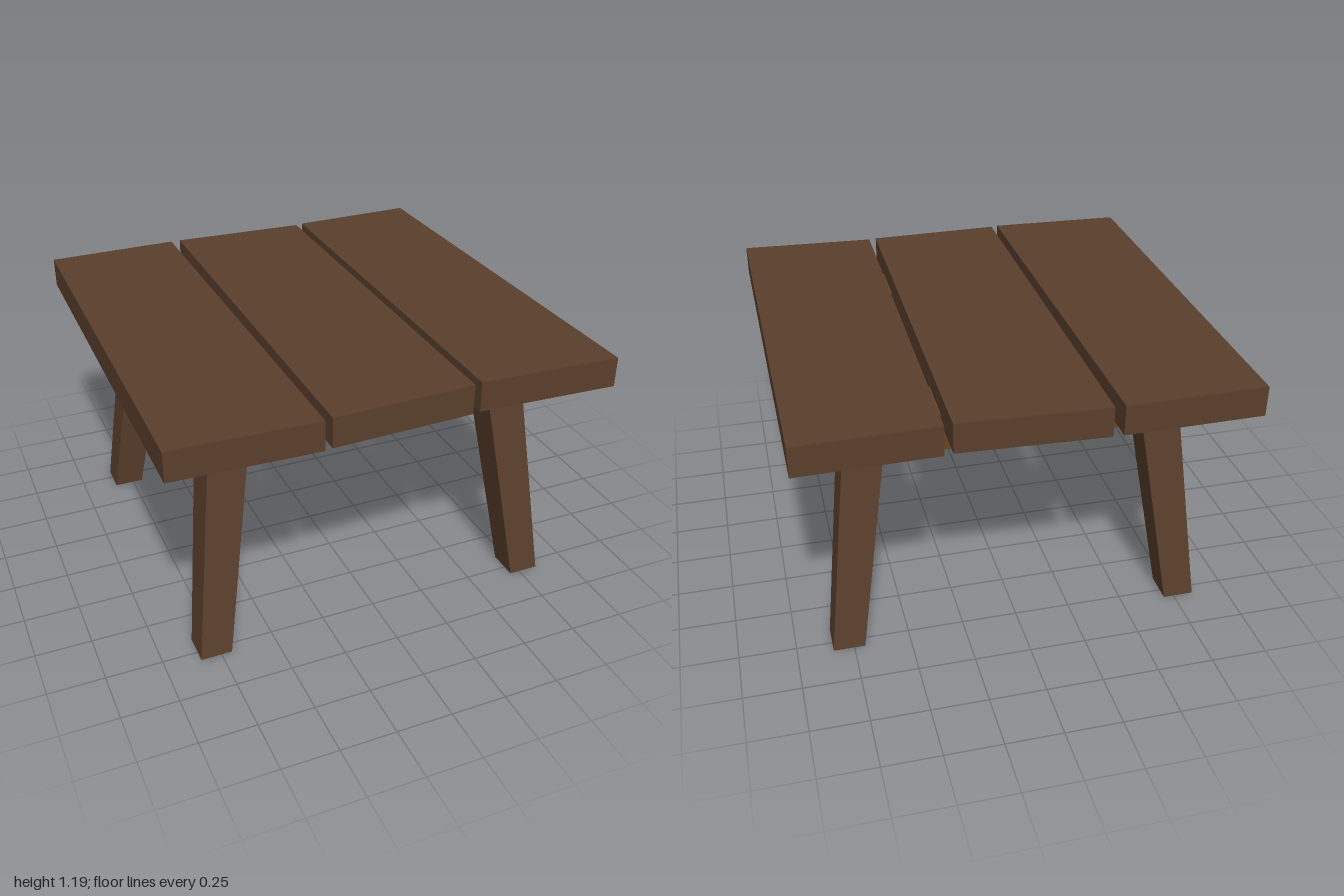
import * as THREE from 'three';

const wood = new THREE.MeshStandardMaterial({ color: 0x5a3f2c, flatShading: true });
const paleWood = new THREE.MeshStandardMaterial({ color: 0x69471b, flatShading: true });

// Six-sided block whose bottom and top are quads of [x, z] corners,
// ordered back-left, back-right, front-right, front-left as seen from above.
function block(name, material, y0, y1, bottom, top = bottom) {
  const geometry = new THREE.BoxGeometry(1, 1, 1);
  const p = geometry.attributes.position;
  for (let i = 0; i < p.count; i++) {
    const right = p.getX(i) > 0;
    const corner = p.getZ(i) < 0 ? (right ? 1 : 0) : (right ? 2 : 3);
    const up = p.getY(i) > 0;
    const [x, z] = (up ? top : bottom)[corner];
    p.setXYZ(i, x, up ? y1 : y0, z);
  }
  geometry.computeVertexNormals();
  const mesh = new THREE.Mesh(geometry, material);
  mesh.name = name;
  return mesh;
}

const rect = (x0, x1, z0, z1) => [[x0, z0], [x1, z0], [x1, z1], [x0, z1]];

// Rectangle mirrored into the quadrant given by the signs sx, sz
function mirrored(sx, sz, x0, x1, z0, z1) {
  const [a, b] = [sx * x0, sx * x1].sort((m, n) => m - n);
  const [c, d] = [sz * z0, sz * z1].sort((m, n) => m - n);
  return rect(a, b, c, d);
}

export function createModel() {
  const table = new THREE.Group();
  table.name = 'plankTable';

  // Table top: three slightly crooked planks
  const planks = [
    [[-0.975, -0.99], [-0.36, -1.0], [-0.352, 0.995], [-0.988, 0.972]],
    [[-0.315, -1.0], [0.33, -0.972], [0.315, 0.968], [-0.318, 0.988]],
    [[0.366, -0.98], [0.966, -0.995], [0.985, 0.992], [0.35, 0.962]],
  ];
  planks.forEach((q, i) => table.add(block(`plank${i + 1}`, wood, 1.055, 1.19, q)));

  // Cross rails under the planks, standing slightly up into them
  table.add(block('frontCrossRail', paleWood, 0.92, 1.095, rect(-0.77, 0.763, 0.488, 0.715)));
  table.add(block('backCrossRail', paleWood, 0.92, 1.095, rect(-0.77, 0.763, -0.725, -0.495)));

  // Thinner side rails joining the cross rails
  for (const s of [1, -1]) {
    table.add(block(s > 0 ? 'leftSideRail' : 'rightSideRail', paleWood, 0.96, 1.06,
      mirrored(s, 1, 0.56, 0.71, -0.5, 0.495)));
  }

  // Splayed legs tapering towards the floor
  for (const sx of [1, -1]) {
    for (const sz of [1, -1]) {
      const name = (sz > 0 ? 'front' : 'back') + (sx > 0 ? 'Left' : 'Right') + 'Leg';
      table.add(block(name, wood, 0, 0.925,
        mirrored(sx, sz, 0.703, 0.842, 0.662, 0.803),
        mirrored(sx, sz, 0.562, 0.735, 0.518, 0.692)));
    }
  }
  return table;
}
